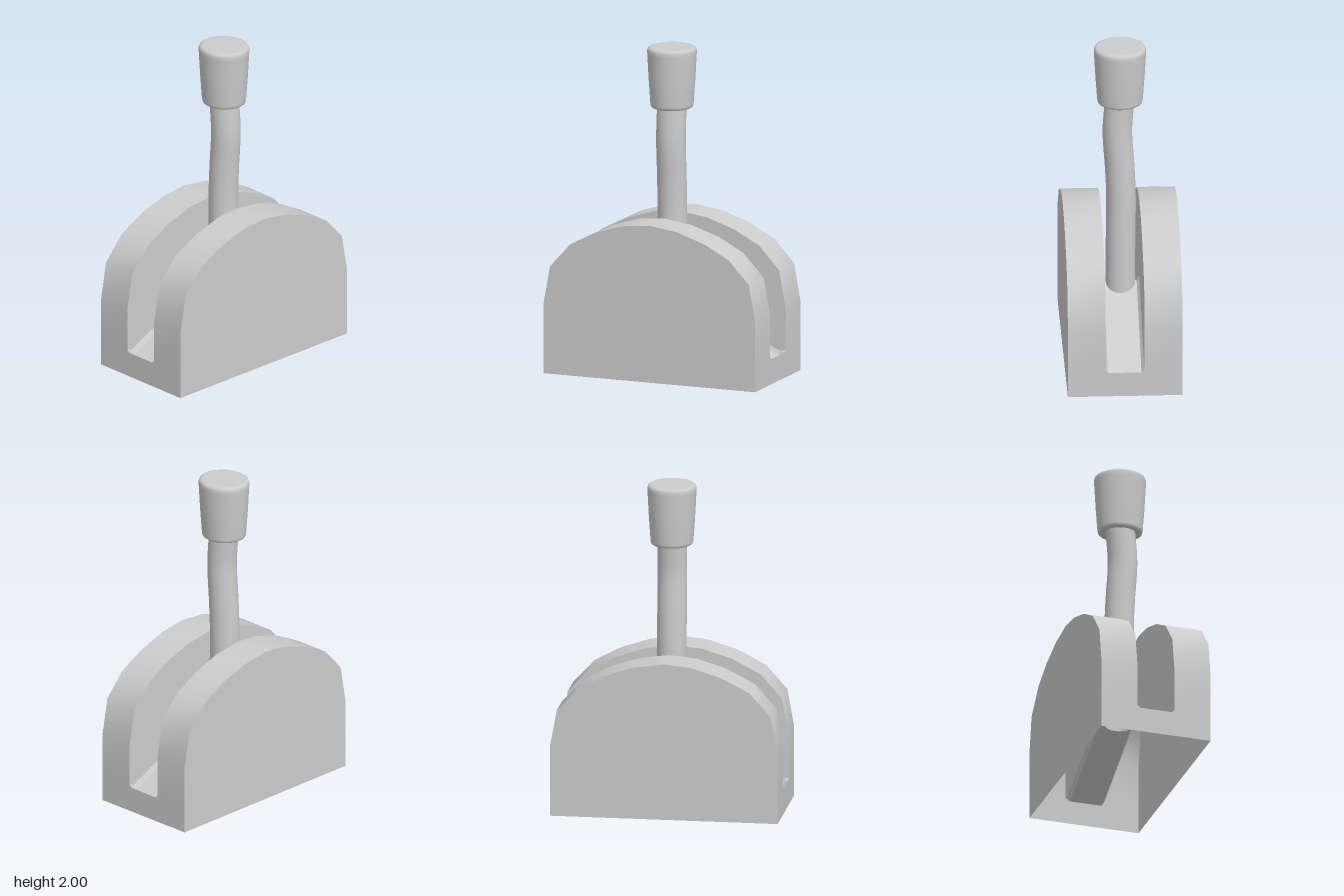
import * as THREE from 'three';

export function createModel() {
  const group = new THREE.Group();
  const grey = new THREE.MeshStandardMaterial({ color: 0xcccccc });
  const shell = new THREE.MeshStandardMaterial({ color: 0xcccccc, side: THREE.DoubleSide });
  const shellFlat = new THREE.MeshStandardMaterial({ color: 0xcccccc, side: THREE.DoubleSide, flatShading: true });

  function add(name, geometry, material) {
    const mesh = new THREE.Mesh(geometry, material);
    mesh.name = name;
    group.add(mesh);
    return mesh;
  }

  // Skin over rows of [x, y, z] points
  function loft(rows) {
    const n = rows[0].length;
    const index = [];
    for (let i = 0; i < rows.length - 1; i++) {
      for (let j = 0; j < n - 1; j++) {
        const a = i * n + j;
        index.push(a, a + 1, a + n + 1, a, a + n + 1, a + n);
      }
    }
    const g = new THREE.BufferGeometry();
    g.setAttribute('position', new THREE.Float32BufferAttribute(rows.flat(2), 3));
    g.setIndex(index);
    g.computeVertexNormals();
    return g;
  }

  // Flat polygon of [u, v] points
  const flat = (pts) => new THREE.ShapeGeometry(new THREE.Shape(pts.map(([u, v]) => new THREE.Vector2(u, v))));

  // Upright wall of [z, y] points at x, facing dir
  const wall = (pts, x, dir) =>
    flat(pts.map(([z, y]) => [-dir * z, y])).rotateY(dir * Math.PI / 2).translate(x, 0, 0);

  const W = 0.345, S = 0.117, F = 0.1, D = 0.692;

  // Arched side outline, [z, y] from front to back
  const arch = [[D, 0.43], [0.65, 0.66], [0.52, 0.805], [0.345, 0.895], [0.165, 0.95], [0, 0.965],
    [-0.18, 0.94], [-0.36, 0.88], [-0.52, 0.795], [-0.65, 0.655], [-D, 0.43]];

  // Slot floor: lip, ramp up to the lever, ramp down, lip: [z, y, bevel height]
  const floor = [[D, 0.155, 0.015], [0.655, 0.13, 0.03], [0, 0.44, 0.03], [-0.655, 0.13, 0.03], [-D, 0.155, 0.015]];
  const floorEdge = floor.map(([z, y, b]) => [z, y + b]);

  for (const s of [-1, 1]) {
    const side = s > 0 ? 'left' : 'right';
    add(side + 'OuterWall', wall([[D, 0], ...arch, [-D, 0]], s * W, s), shell);
    add(side + 'SlotWall', wall([...arch, ...floorEdge.slice().reverse()], s * S, -s), shell);

    // Rounded rim joining the outer and slot walls
    const [x0, x1] = s > 0 ? [S, W] : [-W, -S];
    const rim = [[D, 0.17], ...arch, [-D, 0.17]];
    add(side + 'Rim', loft(rim.map(([z, y]) => [[x0, y, z], [x1, y, z]])), shell);

    // End panel below the slot opening
    const end = flat([[-W, 0], [W, 0], [W, 0.17], [S, 0.17], [F, 0.155], [-F, 0.155], [-S, 0.17], [-W, 0.17]]);
    if (s < 0) end.rotateY(Math.PI);
    add(s > 0 ? 'frontPanel' : 'backPanel', end.translate(0, 0, s * D), shell);
  }

  add('slotFloor', loft(floor.map(([z, y, b]) =>
    [[-S, y + b, z], [-F, y, z], [F, y, z], [S, y + b, z]])), shellFlat);

  // Slightly bent lever rod
  const path = new THREE.CatmullRomCurve3([
    [-0.002, 0.36], [-0.003, 0.7], [-0.006, 1.0], [0.002, 1.2], [0.016, 1.44], [0.002, 1.64],
  ].map(([x, y]) => new THREE.Vector3(x, y, 0)));
  add('lever', new THREE.TubeGeometry(path, 40, 0.089, 32), shell);

  // Tapered oval knob
  const knob = [[0, 1.64], [0.088, 1.64], [0.1, 1.628], [0.124, 1.628], [0.133, 1.634], [0.137, 1.648],
    [0.148, 1.8], [0.157, 1.96], [0.157, 1.98], [0.152, 1.992], [0.142, 1.998], [0.13, 2], [0, 2]];
  add('knob', new THREE.LatheGeometry(knob.map(([x, y]) => new THREE.Vector2(x, y)), 48), grey).scale.z = 0.94;

  return group;
}
